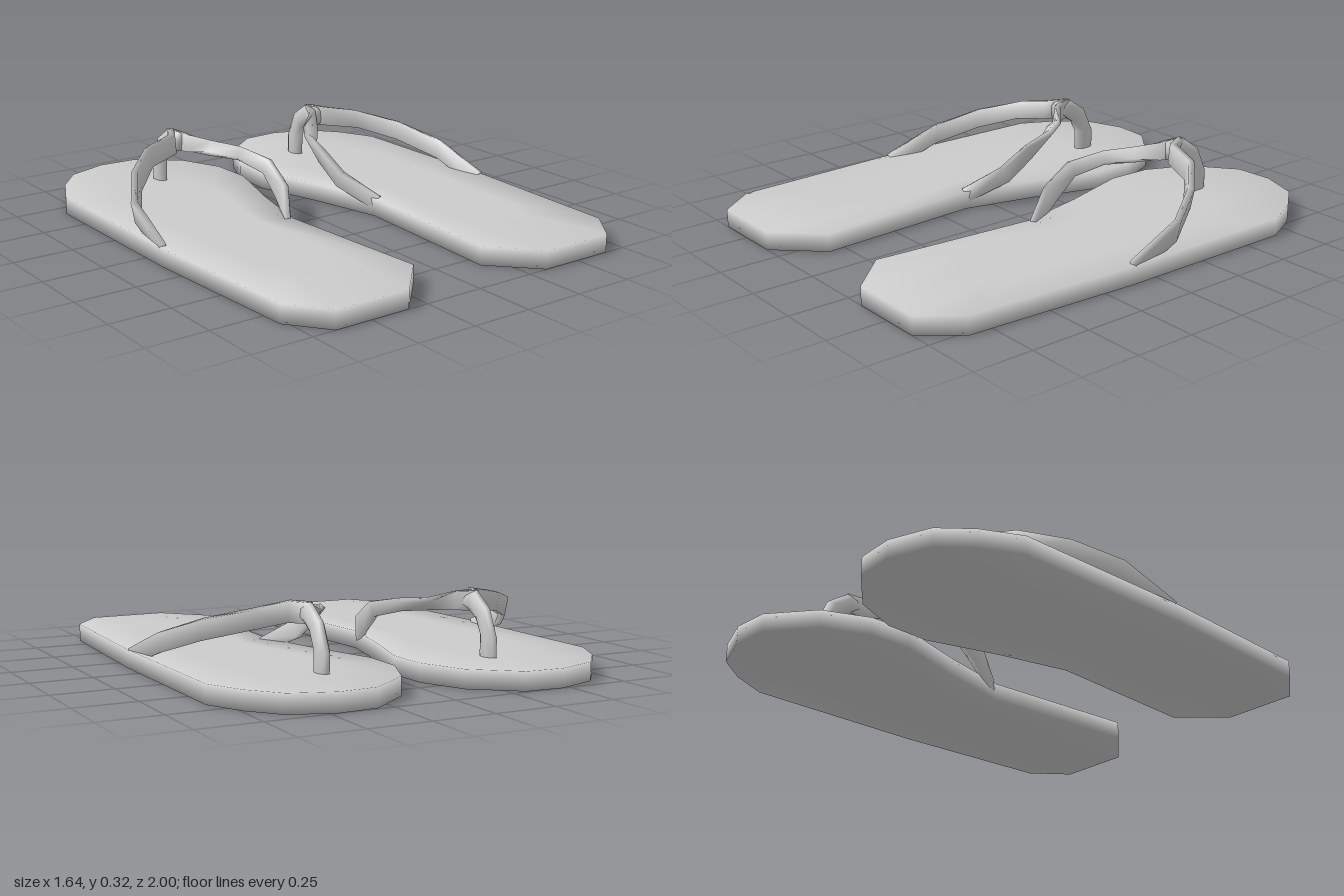
import * as THREE from 'three';

const material = new THREE.MeshStandardMaterial({ color: 0xcccccc, side: THREE.DoubleSide });

// Closed smooth skin over a list of rings (equal point counts), fan-capped at both ends.
function loft(rings, name, mirror) {
  const n = rings[0].length;
  const pts = rings.flat();
  const index = [];
  for (let r = 0; r < rings.length - 1; r++) {
    for (let i = 0; i < n; i++) {
      const a = r * n + i, b = r * n + (i + 1) % n;
      index.push(a, b, b + n, a, b + n, a + n);
    }
  }
  [0, rings.length - 1].forEach((r) => {
    const centre = rings[r].reduce((s, p) => s.add(p), new THREE.Vector3()).divideScalar(n);
    const c = pts.push(centre) - 1;
    for (let i = 0; i < n; i++) {
      const a = r * n + i, b = r * n + (i + 1) % n;
      index.push(...(r === 0 ? [c, b, a] : [c, a, b]));
    }
  });
  const p = pts.map((v) => new THREE.Vector3(v.x * mirror, v.y, v.z));
  // Turn all faces outward, whatever the ring direction or mirroring
  let volume = 0;
  for (let i = 0; i < index.length; i += 3) {
    volume += p[index[i]].dot(p[index[i + 1]].clone().cross(p[index[i + 2]]));
  }
  if (volume < 0) index.reverse();
  const geometry = new THREE.BufferGeometry().setFromPoints(p);
  geometry.setIndex(index);
  geometry.computeVertexNormals();
  const mesh = new THREE.Mesh(geometry, material);
  mesh.name = name;
  return mesh;
}

// Rings along a band given by stations [top xyz, bottom xyz]; 4 sides make a box section.
function band(stations, halfThickness, sides) {
  const ends = stations.map(([t, b]) => [new THREE.Vector3(...t), new THREE.Vector3(...b)]);
  const mids = ends.map(([t, b]) => t.clone().add(b).multiplyScalar(0.5));
  const grow = sides === 4 ? Math.SQRT2 : 1;
  return ends.map(([t, b], k) => {
    const along = mids[Math.min(k + 1, mids.length - 1)].clone().sub(mids[Math.max(k - 1, 0)]);
    const half = t.clone().sub(b).multiplyScalar(0.5);
    const side = along.cross(half).normalize().multiplyScalar(halfThickness);
    return Array.from({ length: sides }, (_, i) => {
      const a = ((i + 0.5) / sides) * Math.PI * 2;
      return mids[k].clone()
        .addScaledVector(half, Math.cos(a) * grow)
        .addScaledVector(side, Math.sin(a) * grow);
    });
  });
}

// Sole outline (x, z), toes at -z
const outline = [
  [0.31, -0.99], [0.47, -1], [0.64, -0.94], [0.74, -0.82], [0.815, -0.665],
  [0.815, 0.13], [0.775, 0.845], [0.655, 1], [0.335, 1], [0.165, 0.82],
  [0.21, 0.12], [0.14, -0.18], [0.05, -0.48], [0.055, -0.665], [0.135, -0.85],
];
const soleHeight = 0.075;

const outerStrap = [
  [[0.36, 0.32, -0.57], [0.36, 0.24, -0.55]],
  [[0.4, 0.318, -0.485], [0.4, 0.237, -0.475]],
  [[0.54, 0.29, -0.45], [0.54, 0.212, -0.43]],
  [[0.68, 0.245, -0.31], [0.67, 0.165, -0.3]],
  [[0.78, 0.18, -0.14], [0.77, 0.1, -0.13]],
  [[0.805, 0.085, 0.11], [0.785, 0.02, 0.1]],
];
const innerStrap = [
  [[0.36, 0.32, -0.57], [0.36, 0.24, -0.55]],
  [[0.33, 0.31, -0.485], [0.335, 0.235, -0.475]],
  [[0.24, 0.272, -0.42], [0.28, 0.235, -0.39]],
  [[0.17, 0.262, -0.31], [0.2, 0.222, -0.29]],
  [[0.135, 0.24, -0.15], [0.145, 0.18, -0.17]],
  [[0.145, 0.165, -0.02], [0.155, 0.1, -0.06]],
  [[0.235, 0.08, 0.12], [0.215, 0.03, 0.1]],
];
const toePost = [
  [[0.36, 0.03, -0.71], [0.36, 0.03, -0.62]],
  [[0.36, 0.15, -0.712], [0.36, 0.16, -0.618]],
  [[0.36, 0.262, -0.66], [0.36, 0.21, -0.59]],
  [[0.36, 0.322, -0.57], [0.36, 0.235, -0.55]],
  [[0.36, 0.318, -0.495], [0.36, 0.235, -0.49]],
];

function createSandal(mirror, name) {
  const sandal = new THREE.Group();
  sandal.name = name;
  const soleRing = (y, inset) => outline.map(([x, z]) =>
    new THREE.Vector3(THREE.MathUtils.lerp(x, 0.47, inset), y, z * (1 - inset * 0.8)));
  sandal.add(
    loft([soleRing(0, 0.5), soleRing(0, 0), soleRing(soleHeight, 0), soleRing(soleHeight, 0.5)], 'sole', mirror),
    loft(band(outerStrap, 0.014, 4), 'outerStrap', mirror),
    loft(band(innerStrap, 0.012, 4), 'innerStrap', mirror),
    loft(band(toePost, 0.026, 8), 'toePost', mirror),
  );
  return sandal;
}

export function createModel() {
  const model = new THREE.Group();
  model.name = 'sandals';
  model.add(createSandal(1, 'leftSandal'), createSandal(-1, 'rightSandal'));
  return model;
}
